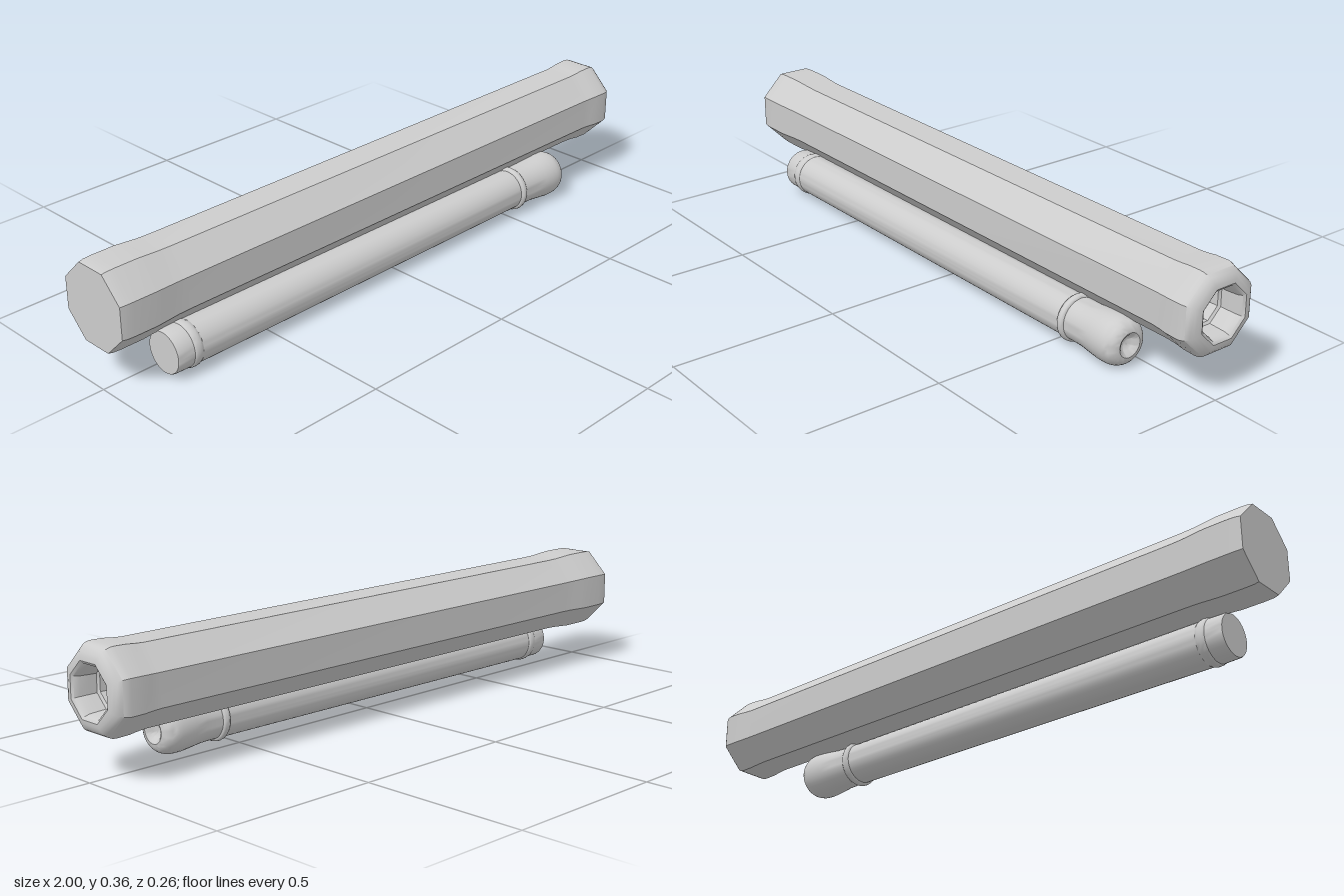
import * as THREE from 'three';
import { toCreasedNormals } from 'three/addons/utils/BufferGeometryUtils.js';

const grey = new THREE.MeshStandardMaterial({ color: 0xcccccc });
grey.name = 'plain grey';

// Turn a profile of [x, radius] pairs around the x axis.
function turned(name, profile, sides, scale = 1, phase = 0, crease = 0.65) {
  const points = profile.map(([x, r]) => new THREE.Vector2(r * scale, x));
  const geometry = new THREE.LatheGeometry(points, sides, phase);
  geometry.rotateZ(-Math.PI / 2);
  const mesh = new THREE.Mesh(toCreasedNormals(geometry, crease), grey);
  mesh.name = name;
  return mesh;
}

// Points of a quarter-like arc in the profile plane, from angle a to b in degrees.
function arc(cx, cr, rx, rr, a, b, steps) {
  return Array.from({ length: steps + 1 }, (_, i) => {
    const t = THREE.MathUtils.degToRad(a + ((b - a) * i) / steps);
    return [cx + rx * Math.cos(t), cr + rr * Math.sin(t)];
  });
}

export function createModel() {
  const group = new THREE.Group();
  group.name = 'twinTubes';

  // Octagonal barrel: radii are flat-to-centre, widened to the corners by the scale
  const barrel = turned('octagonalBarrel', [
    [-1, 0], [-1, 0.115], [-0.985, 0.118], [-0.96, 0.119], [-0.89, 0.119],
    [-0.86, 0.117], [-0.82, 0.114], [-0.78, 0.113],
    [0.86, 0.113], [0.89, 0.115], [0.915, 0.118],
    // rounded muzzle lip
    ...arc(0.955, 0.077, 0.045, 0.042, 90, 0, 6),
    [0.995, 0.07], [0.98, 0.065], [0.95, 0.063],
    // stepped blind bore
    [0.93, 0.062], [0.925, 0.055], [0.84, 0.054], [0.825, 0.045], [0.82, 0],
  ], 8, 1 / Math.cos(Math.PI / 8), Math.PI / 8);
  barrel.position.set(0, 0.242, -0.012);
  group.add(barrel);

  // Round tube slung beneath, with a bulbous dimpled end
  const tube = new THREE.Group();
  tube.name = 'lowerTube';
  tube.position.set(0, 0.073, 0.062);
  tube.add(turned('tubeBody', [
    [-0.845, 0], [-0.845, 0.061], [-0.84, 0.063], [-0.79, 0.064],
    [0.57, 0.062], [0.61, 0.063], [0.65, 0.068], [0.68, 0.071],
    ...arc(0.7, 0.036, 0.048, 0.035, 90, 0, 7),
    [0.744, 0.029], [0.734, 0.021], [0.727, 0.012], [0.725, 0],
  ], 40));

  // Raised bands near both ends
  for (const [name, x, half, r] of [['rearBand', -0.777, 0.016, 0.068], ['frontBand', 0.543, 0.012, 0.07]]) {
    tube.add(turned(name, [
      [x - half, 0.058], ...arc(x, 0.062, half, r - 0.062, 180, 0, 6), [x + half, 0.058],
    ], 40));
  }
  group.add(tube);
  return group;
}
